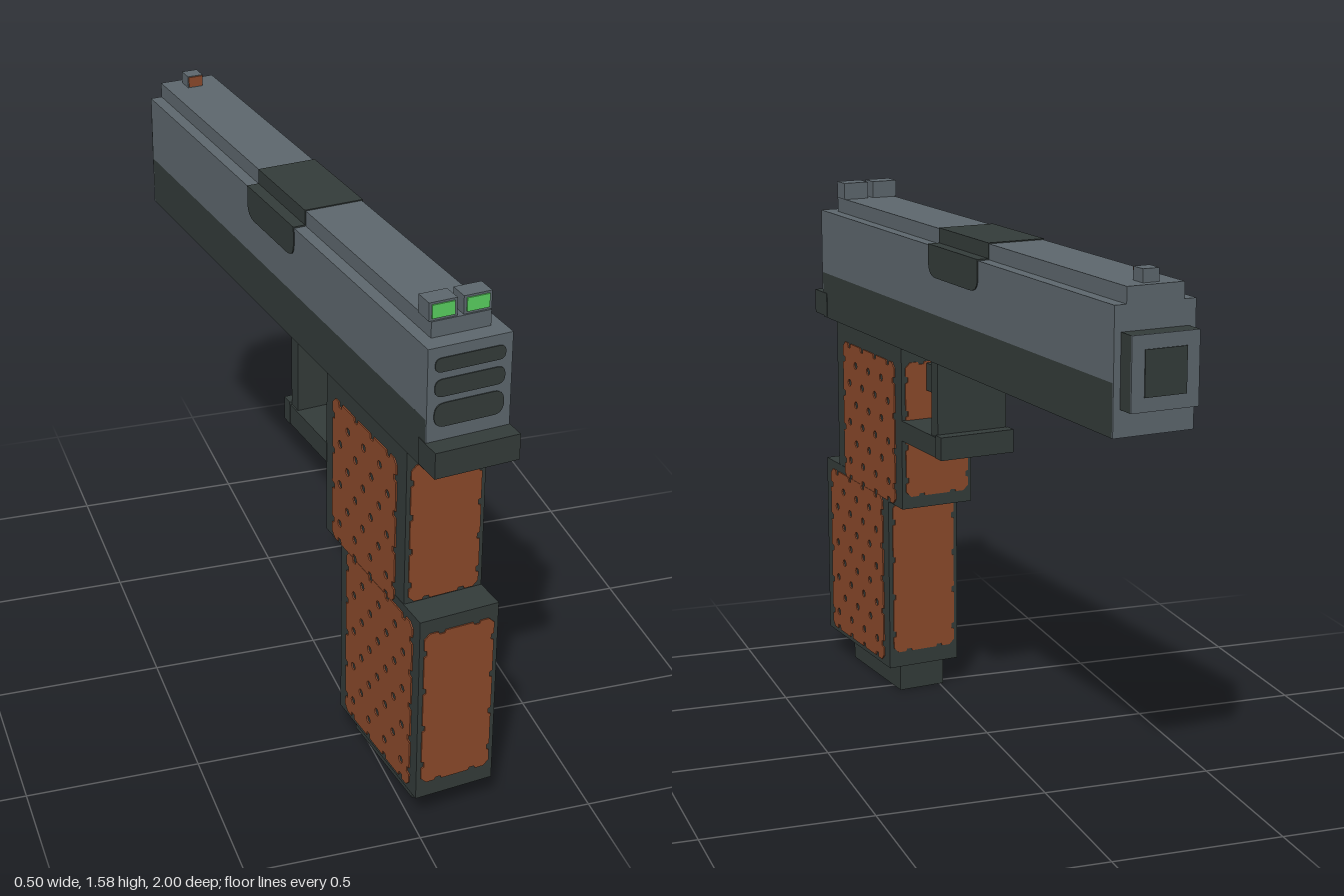
import * as THREE from 'three';

const paint = (name, color) => {
  const m = new THREE.MeshStandardMaterial({ color });
  m.name = name;
  return m;
};

export function createModel() {
  const steel = paint('slate grey', 0x5e686e);
  const dark = paint('dark frame', 0x343c3a);
  const brown = paint('brown grip', 0x8c4a2b);
  const green = paint('sight green', 0x5ad260);

  const model = new THREE.Group();
  model.name = 'blockyPistol';
  const body = new THREE.Group();
  body.name = 'body';
  body.rotation.y = 0.134; // the whole body stands slightly turned
  model.add(body);

  const add = (name, geometry, material) => {
    const mesh = new THREE.Mesh(geometry, material);
    mesh.name = name;
    body.add(mesh);
    return mesh;
  };
  // Box given by its extents
  const box = (name, material, x0, x1, y0, y1, z0, z1) => {
    const mesh = add(name, new THREE.BoxGeometry(x1 - x0, y1 - y0, z1 - z0), material);
    mesh.position.set((x0 + x1) / 2, (y0 + y1) / 2, (z0 + z1) / 2);
    return mesh;
  };
  // Box centred on x
  const slab = (name, material, half, ...yz) => box(name, material, -half, half, ...yz);
  // Thin plate cut from a shape, facing along the angle turn about y
  const plate = (name, shape, material, x, y, z, turn) => {
    const geometry = new THREE.ExtrudeGeometry(shape, { depth: 0.008, bevelEnabled: false, curveSegments: 6 });
    const mesh = add(name, geometry, material);
    mesh.position.set(x, y, z);
    mesh.rotation.y = turn;
    return mesh;
  };

  // Slide, raised rib and frame
  slab('slide', steel, 0.12, 1.28, 1.48, -0.94, 0.936);
  slab('slideRib', steel, 0.085, 1.48, 1.525, -0.94, 0.883);
  slab('frame', dark, 0.12, 1.136, 1.28, -0.935, 0.931);
  slab('frontPlate', steel, 0.12, 1.136, 1.28, -0.94, -0.935);
  slab('rearPlate', steel, 0.12, 1.215, 1.28, 0.931, 0.936);
  slab('rearTang', dark, 0.122, 1.14, 1.215, 0.9, 0.993);

  // Muzzle block
  slab('muzzle', dark, 0.1, 1.21, 1.41, -0.99, -0.94);
  slab('muzzleFace', steel, 0.1, 1.21, 1.41, -0.995, -0.99);
  slab('bore', dark, 0.062, 1.248, 1.372, -0.998, -0.995);

  // Dark ejection port wrapped over the top and both sides
  const portZ = [-0.18, 0.137];
  const portW = portZ[1] - portZ[0], portMid = (portZ[0] + portZ[1]) / 2;
  const port = new THREE.Shape();
  port.moveTo(-portW / 2, 0.094);
  port.lineTo(-portW / 2, 0.04);
  port.quadraticCurveTo(-portW / 2, 0, -portW / 2 + 0.05, 0);
  port.lineTo(portW / 2 - 0.05, 0);
  port.quadraticCurveTo(portW / 2, 0, portW / 2, 0.04);
  port.lineTo(portW / 2, 0.094);
  for (const s of [1, -1]) plate('portSide', port, dark, s * 0.115, 1.39, portMid, s * Math.PI / 2);
  slab('portShoulder', dark, 0.123, 1.476, 1.484, ...portZ);
  slab('portTop', dark, 0.088, 1.482, 1.528, ...portZ);

  // Rear slots
  const slot = (w, h) => {
    const s = new THREE.Shape(), r = h * 0.45, x = w / 2, y = h / 2;
    s.moveTo(-x + r, -y);
    s.lineTo(x - r, -y);
    s.quadraticCurveTo(x, -y, x, 0);
    s.quadraticCurveTo(x, y, x - r, y);
    s.lineTo(-x + r, y);
    s.quadraticCurveTo(-x, y, -x, 0);
    s.quadraticCurveTo(-x, -y, -x + r, -y);
    return s;
  };
  for (const [y, h] of [[1.43, 0.04], [1.365, 0.05], [1.288, 0.068]])
    plate('rearSlot', slot(0.2, h), dark, 0, y, 0.931, 0);

  // Sights
  for (const x of [-0.05, 0.048]) {
    box('rearSight', steel, x - 0.04, x + 0.04, 1.525, 1.576, 0.82, 0.878);
    box('rearSightDot', green, x - 0.032, x + 0.032, 1.532, 1.57, 0.878, 0.882);
  }
  slab('frontSight', steel, 0.024, 1.525, 1.561, -0.915, -0.866);
  slab('frontSightDot', brown, 0.022, 1.528, 1.559, -0.866, -0.862);

  // Grip blocks and base
  slab('upperGrip', dark, 0.117, 0.632, 1.136, 0.343, 0.83);
  slab('lowerGrip', dark, 0.118, 0.085, 0.666, 0.446, 0.928);
  slab('gripBase', dark, 0.075, 0, 0.085, 0.462, 0.825);

  // Panel with notched edges and, if wanted, staggered holes
  const panel = (w, h, holes) => {
    const pitch = holes ? 0.1 : 0.12, n = 0.011, d = holes ? 0.014 : 0.008;
    const corners = [[-w / 2, -h / 2], [w / 2, -h / 2], [w / 2, h / 2], [-w / 2, h / 2]];
    const pts = [];
    corners.forEach(([ax, ay], i) => {
      const [bx, by] = corners[(i + 1) % 4];
      const len = Math.hypot(bx - ax, by - ay), ux = (bx - ax) / len, uy = (by - ay) / len;
      const put = (t, inset) => pts.push(new THREE.Vector2(ax + ux * t - uy * inset, ay + uy * t + ux * inset));
      put(0.016, 0);
      const count = Math.round(len / pitch);
      for (let k = 0; k < count; k++) {
        const t = (k + 0.5) * len / count;
        put(t - n, 0);
        put(t - n * 0.7, d);
        put(t + n * 0.7, d);
        put(t + n, 0);
      }
      put(len - 0.016, 0);
    });
    const shape = new THREE.Shape(pts);
    if (holes) {
      const cols = Math.round(w / 0.1), rows = Math.round(h / 0.06) - 1;
      for (let r = 0; r < rows; r++) {
        const shift = r % 2;
        for (let c = 0; c < cols - shift; c++) {
          const hole = new THREE.Path();
          hole.absarc((c + 0.5 + shift / 2 - cols / 2) * w / cols, (r + 1) * h / (rows + 1) - h / 2, 0.0115, 0, Math.PI * 2, true);
          shape.holes.push(hole);
        }
      }
    }
    return shape;
  };
  const upperSide = panel(0.388, 0.445, true), lowerSide = panel(0.405, 0.54, true);
  for (const s of [1, -1]) {
    plate('upperSidePanel', upperSide, brown, s * 0.113, 0.86, 0.583, s * Math.PI / 2);
    plate('lowerSidePanel', lowerSide, brown, s * 0.114, 0.37, 0.688, s * Math.PI / 2);
  }
  const upperEnd = panel(0.21, 0.42, false), lowerEnd = panel(0.21, 0.49, false);
  plate('upperRearPanel', upperEnd, brown, 0, 0.88, 0.826, 0);
  plate('lowerRearPanel', lowerEnd, brown, 0, 0.38, 0.924, 0);
  plate('upperFrontPanel', upperEnd, brown, 0, 0.88, 0.347, Math.PI);
  plate('lowerFrontPanel', lowerEnd, brown, 0, 0.38, 0.45, Math.PI);

  // Trigger guard and stepped trigger
  slab('guardFloor', dark, 0.118, 0.85, 0.912, 0.1, 0.345);
  slab('guardTip', dark, 0.12, 0.85, 0.92, 0.062, 0.1);
  slab('guardPost', dark, 0.113, 0.9, 1.14, 0.099, 0.142);
  slab('triggerTop', dark, 0.035, 1.0, 1.085, 0.245, 0.345);
  slab('triggerTip', dark, 0.035, 0.962, 1.035, 0.215, 0.3);

  return model;
}
